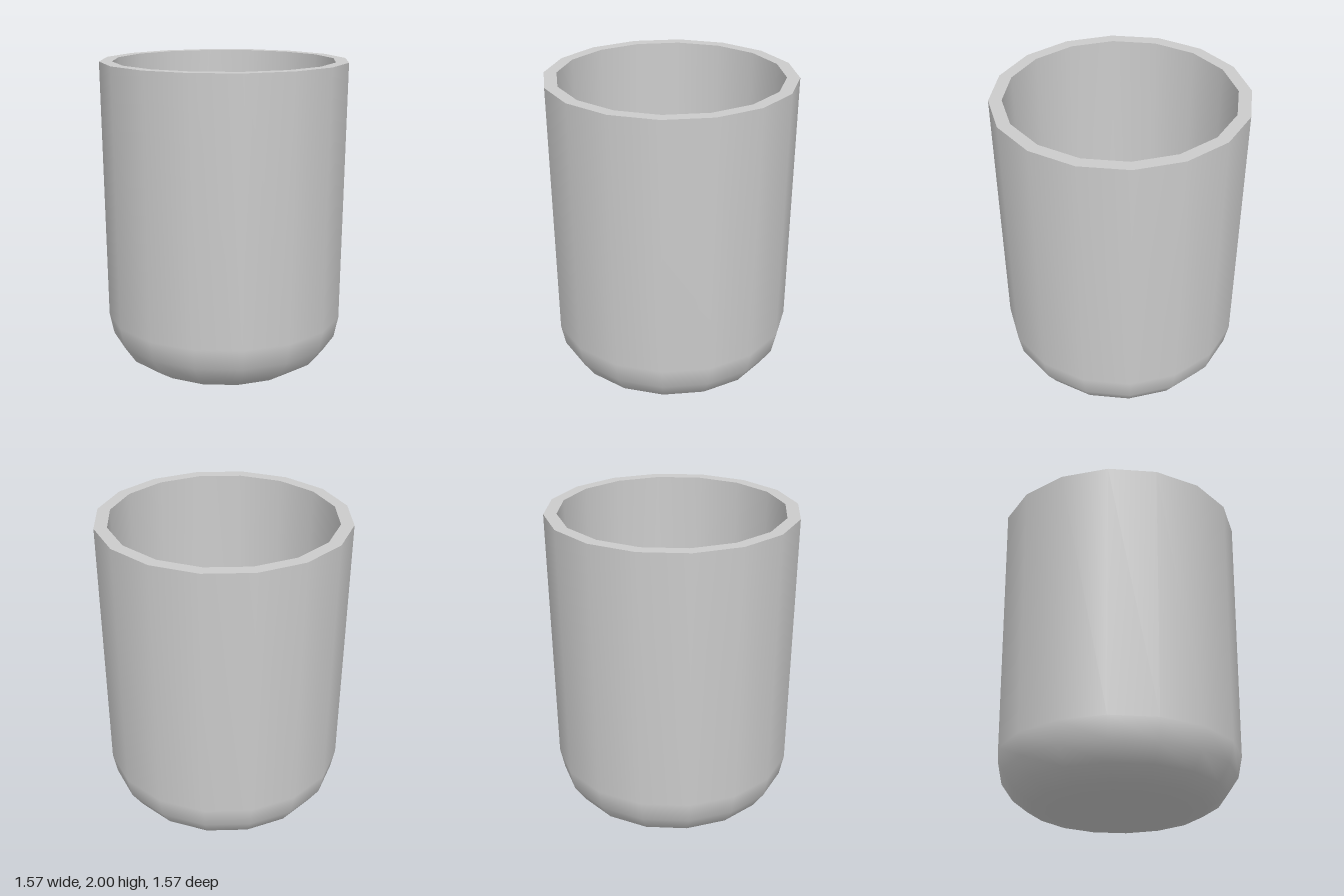
import * as THREE from 'three';

const SIDES = 16;

export function createModel() {
  const cup = new THREE.Group();
  cup.name = 'cup';
  const material = new THREE.MeshStandardMaterial({ color: 0xcccccc });

  // Each section is its own smooth lathe, so the rim edges stay sharp
  const addSection = (name, profile) => {
    const points = profile.map(([r, y]) => new THREE.Vector2(r, y));
    const mesh = new THREE.Mesh(new THREE.LatheGeometry(points, SIDES), material);
    mesh.name = name;
    cup.add(mesh);
  };

  // Flat base, rounded lower edge and slightly flared wall
  addSection('outerWall', [
    [0, 0], [0.41, 0], [0.555, 0.03], [0.665, 0.1], [0.74, 0.21], [0.768, 0.345], [0.786, 2],
  ]);

  // Flat ring around the opening
  addSection('rim', [[0.786, 2], [0.706, 2]]);

  // Inside wall, rounded into the floor
  addSection('innerWall', [
    [0.706, 2], [0.688, 0.36], [0.664, 0.25], [0.6, 0.16], [0.51, 0.105], [0.4, 0.08], [0, 0.08],
  ]);

  return cup;
}
